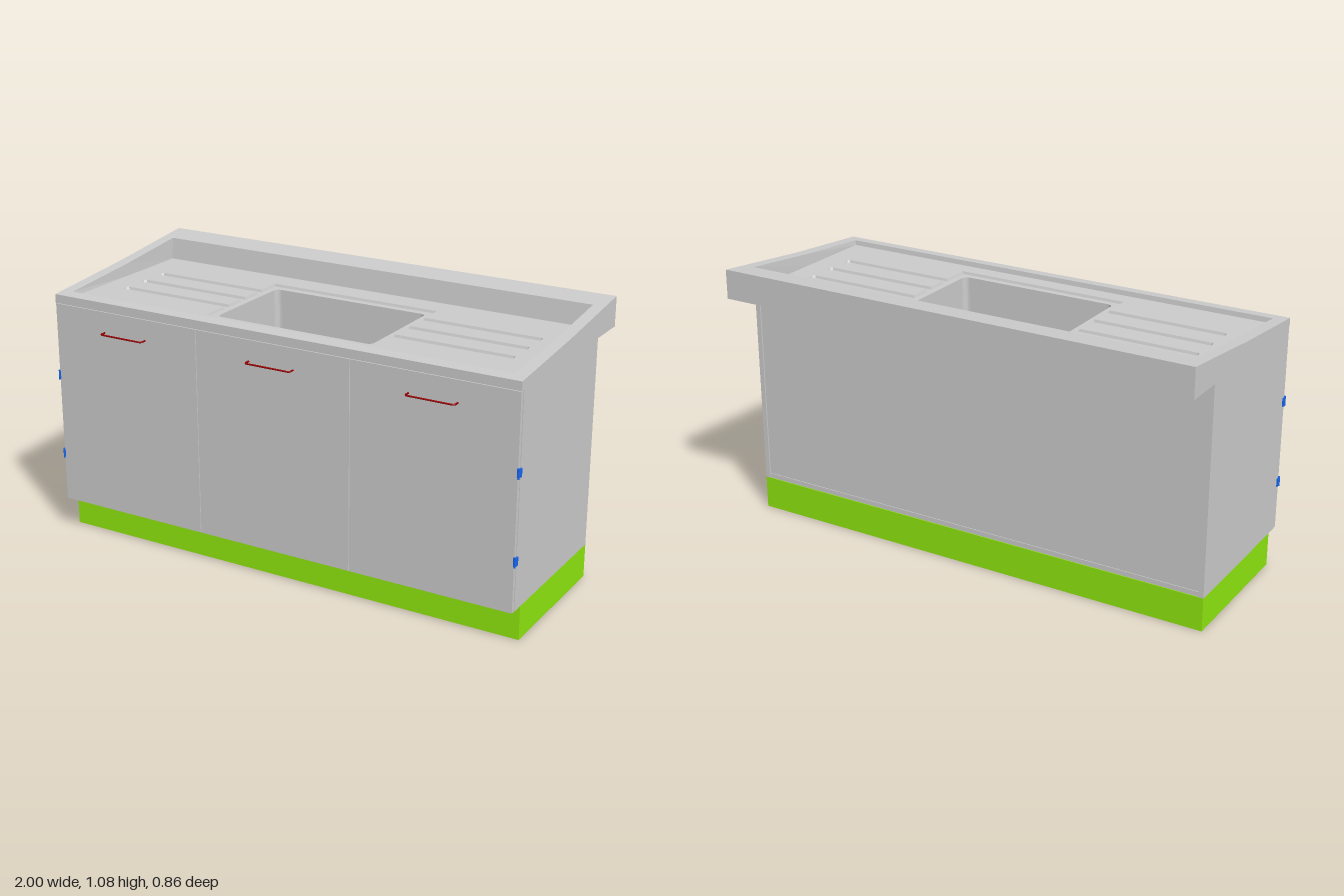
import * as THREE from 'three';

const W = 0.995, TOP = 0.965;
const mat = (color) => new THREE.MeshStandardMaterial({ color, side: THREE.DoubleSide });

function add(parent, name, geometry, material) {
  const mesh = new THREE.Mesh(geometry, material);
  mesh.name = name;
  parent.add(mesh);
  return mesh;
}

// Box given by its min and max limits
function box(parent, name, material, x0, x1, y0, y1, z0, z1) {
  const g = new THREE.BoxGeometry(x1 - x0, y1 - y0, z1 - z0);
  g.translate((x0 + x1) / 2, (y0 + y1) / 2, (z0 + z1) / 2);
  return add(parent, name, g, material);
}

// Loops are lists of [x, z]; heights are a number or a function of z
const height = (h, z) => (typeof h === 'function' ? h(z) : h);

// Strip of faces joining two closed loops with equal point counts
function band(loopA, hA, loopB, hB) {
  const pos = [], n = loopA.length;
  const at = (loop, h, i) => {
    const [x, z] = loop[i % n];
    return [x, height(h, z), z];
  };
  for (let i = 0; i < n; i++) {
    const a = at(loopA, hA, i), b = at(loopA, hA, i + 1);
    const c = at(loopB, hB, i + 1), d = at(loopB, hB, i);
    pos.push(...a, ...b, ...c, ...a, ...c, ...d);
  }
  const g = new THREE.BufferGeometry();
  g.setAttribute('position', new THREE.Float32BufferAttribute(pos, 3));
  g.computeVertexNormals();
  return g;
}

// Horizontal sheet, optionally with a hole
function sheet(loop, y, hole) {
  const pts = (l) => l.map(([x, z]) => new THREE.Vector2(x, -z));
  const shape = new THREE.Shape(pts(loop));
  if (hole) shape.holes.push(new THREE.Path(pts(hole)));
  return new THREE.ShapeGeometry(shape).rotateX(-Math.PI / 2).translate(0, y, 0);
}

// Rectangle with a mid point on each side, where the rim slope changes
const rimLoop = (x, back, front) =>
  [[x, back], [x, 0], [x, front], [-x, front], [-x, 0], [-x, back]];

// Rectangle with rounded corners
function roundLoop(x, back, front, r) {
  const loop = [], corners = [[x - r, front - r], [r - x, front - r], [r - x, back + r], [x - r, back + r]];
  corners.forEach(([cx, cz], k) => {
    for (let i = 0; i <= 4; i++) {
      const a = (k + i / 4) * Math.PI / 2;
      loop.push([cx + r * Math.cos(a), cz + r * Math.sin(a)]);
    }
  });
  return loop;
}

// Basin surround joined with three draining channels per side
function channelLoop(d) {
  const x = 0.365 - d, end = 0.85 - d, h = 0.018 - d, c = 0.008;
  const right = [[x, -0.205 + d]];
  for (const z of [-0.088, 0.03, 0.147]) {
    right.push([x, z - h], [end - c, z - h], [end, z - h + c],
      [end, z + h - c], [end - c, z + h], [x, z + h]);
  }
  right.push([x, 0.28 - d]);
  return [...right, ...right.map(([px, z]) => [-px, z]).reverse()];
}

function createWorktop(material) {
  const g = new THREE.Group();
  g.name = 'worktop';
  const slope = (z) => (z > 0 ? 1.035 - 0.0875 * z : 1.035 - 0.112 * z);
  const floorY = 0.985, channelY = 0.975, basinY = 0.7;

  // Outer skirt, sloping rim and walls of the sunken tray
  const outer = rimLoop(W, -0.43, 0.4);
  const inner = rimLoop(0.947, -0.32, 0.35);
  const tray = rimLoop(0.943, -0.306, 0.347);
  add(g, 'skirt', band(outer, TOP, outer, slope), material);
  add(g, 'rim', band(outer, slope, inner, slope), material);
  add(g, 'trayWalls', band(inner, slope, tray, floorY), material);

  // Tray floor, draining channels and basin
  const channel = channelLoop(0), channelBase = channelLoop(0.004);
  const mouth = roundLoop(0.335, -0.172, 0.25, 0.022);
  const bottom = roundLoop(0.328, -0.165, 0.243, 0.02);
  add(g, 'trayFloor', sheet(tray, floorY, channel), material);
  add(g, 'channelWalls', band(channel, floorY, channelBase, channelY), material);
  add(g, 'channelFloor', sheet(channelBase, channelY, mouth), material);
  add(g, 'basinWalls', band(mouth, channelY, bottom, basinY), material);
  add(g, 'basinFloor', sheet(bottom, basinY), material);
  return g;
}

function createHandle(x, material) {
  const path = new THREE.CurvePath();
  const v = (px, pz) => new THREE.Vector3(px, 0, pz);
  const e = 0.096, z0 = 0.4, z1 = 0.427, r = 0.012;
  path.add(new THREE.LineCurve3(v(-e, z0), v(-e, z1 - r)));
  path.add(new THREE.QuadraticBezierCurve3(v(-e, z1 - r), v(-e, z1), v(r - e, z1)));
  path.add(new THREE.LineCurve3(v(r - e, z1), v(e - r, z1)));
  path.add(new THREE.QuadraticBezierCurve3(v(e - r, z1), v(e, z1), v(e, z1 - r)));
  path.add(new THREE.LineCurve3(v(e, z1 - r), v(e, z0)));
  const mesh = new THREE.Mesh(new THREE.TubeGeometry(path, 80, 0.0035, 8), material);
  mesh.name = 'handle';
  mesh.position.set(x, 0.88, 0);
  return mesh;
}

export function createModel() {
  const model = new THREE.Group();
  model.name = 'sinkCabinet';
  const grey = mat(0xcccccc), green = mat(0x8fe80f), blue = mat(0x1866f0), red = mat(0x990000);

  box(model, 'plinth', green, -W, W, 0, 0.135, -0.265, 0.333);

  // Carcass panels
  const y0 = 0.135, t = 0.02;
  for (const s of [-1, 1]) {
    const x = s * (W - t / 2);
    box(model, 'sidePanel', grey, x - t / 2, x + t / 2, y0, TOP, -0.265, 0.382);
  }
  box(model, 'bottomPanel', grey, t - W, W - t, y0, y0 + t, -0.262, 0.382);
  box(model, 'backPanel', grey, t - W, W - t, y0 + t, TOP, -0.259, -0.249);

  // Doors with handles
  const step = 2 * W / 3;
  for (const i of [-1, 0, 1]) {
    const x = i * step, h = step / 2 - 0.0015;
    box(model, 'door', grey, x - h, x + h, y0, TOP - 0.002, 0.384, 0.4);
    model.add(createHandle(x, red));
  }

  // Hinges on both outer edges
  for (const s of [-1, 1]) {
    for (const y of [0.333, 0.667]) {
      const x = s * 0.995;
      box(model, 'hingeLeaf', blue, x - 0.005, x + 0.005, y - 0.016, y + 0.016, 0.379, 0.401);
      const pin = add(model, 'hingePin', new THREE.CylinderGeometry(0.004, 0.004, 0.04, 12), blue);
      pin.position.set(s * 0.996, y, 0.4);
    }
  }

  model.add(createWorktop(grey));
  return model;
}
